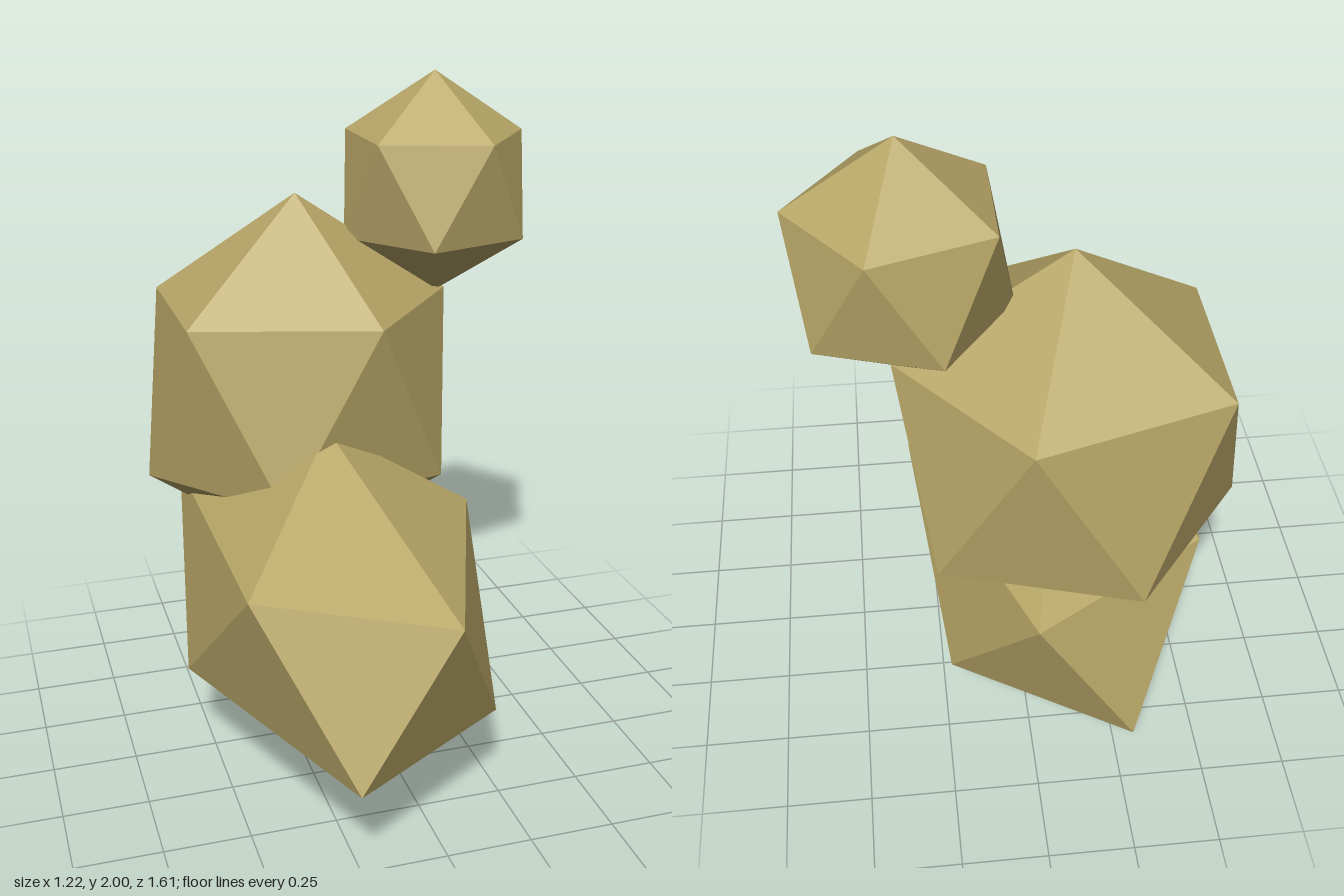
import * as THREE from 'three';
import { ConvexGeometry } from 'three/addons/geometries/ConvexGeometry.js';

// Icosahedron standing on a vertex: two poles and two staggered five-point rings
function rockGeometry() {
  const points = [new THREE.Vector3(0, 1, 0), new THREE.Vector3(0, -1, 0)];
  const h = 1 / Math.sqrt(5);
  const r = 2 * h;
  for (let i = 0; i < 5; i++) {
    const a = (i * 2 * Math.PI) / 5;
    const b = a + Math.PI / 5;
    points.push(new THREE.Vector3(r * Math.cos(a), h, r * Math.sin(a)));
    points.push(new THREE.Vector3(r * Math.cos(b), -h, r * Math.sin(b)));
  }
  return new ConvexGeometry(points);
}

export function createModel() {
  const group = new THREE.Group();
  group.name = 'rockStack';

  const stone = new THREE.MeshStandardMaterial({ color: 0xb9a768 });
  stone.name = 'sandstone';

  // name, centre, radii
  const rocks = [
    ['baseRock', [-0.127, 0.504, 0], [0.5, 0.504, 0.949]],
    ['middleRock', [-0.126, 1.052, -0.35], [0.544, 0.598, 0.498]],
    ['topRock', [0.32, 1.654, -0.35], [0.325, 0.346, 0.325]],
  ];
  for (const [name, centre, radii] of rocks) {
    const geometry = rockGeometry();
    geometry.scale(...radii);
    const rock = new THREE.Mesh(geometry, stone);
    rock.name = name;
    rock.position.set(...centre);
    group.add(rock);
  }
  return group;
}
